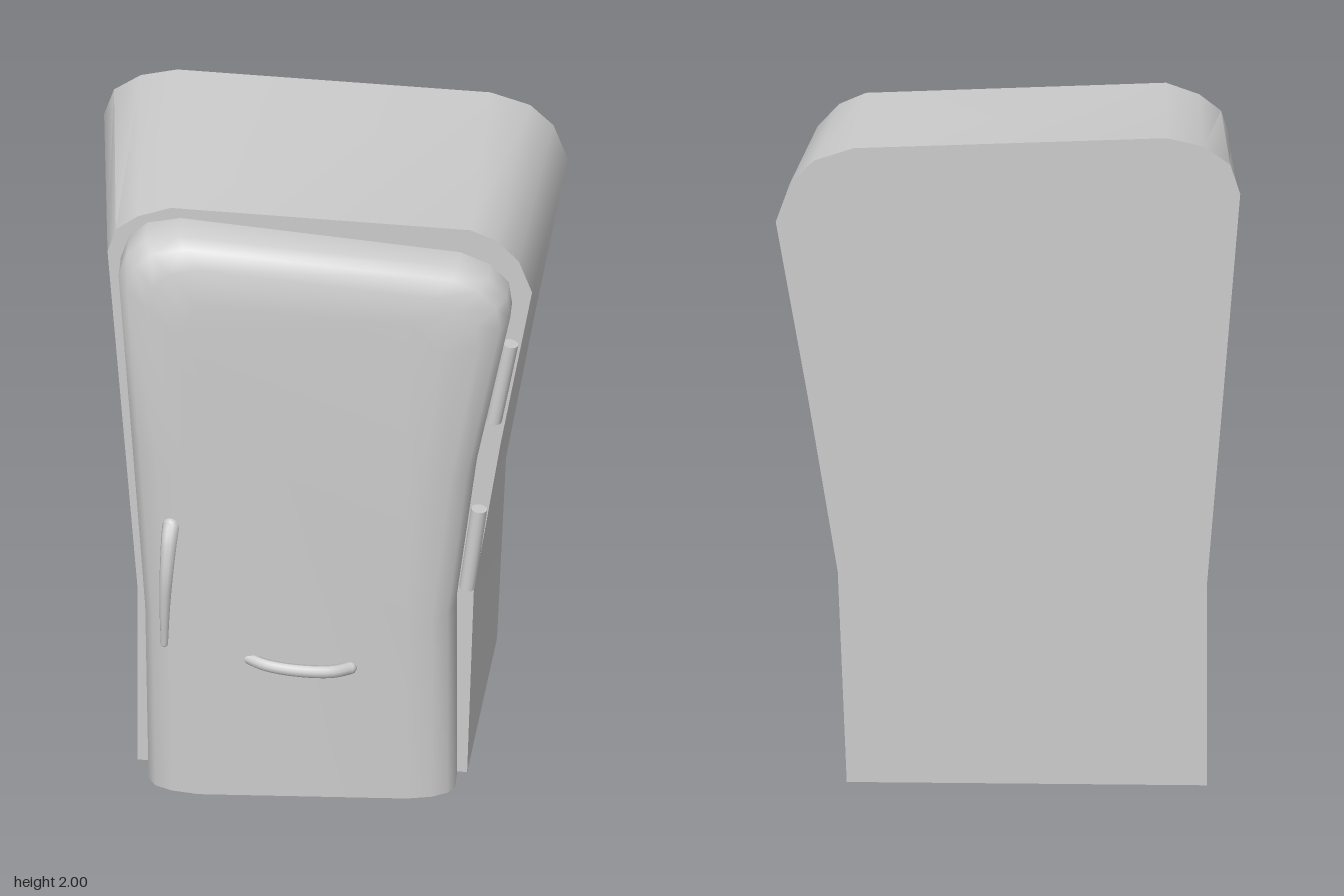
import * as THREE from 'three';
import { toCreasedNormals } from 'three/addons/utils/BufferGeometryUtils.js';

const material = new THREE.MeshStandardMaterial({ color: 0xcccccc });

// Outlines run from the bottom left, over the top, to the bottom right.
const BACK = [[-0.6, 0], [-0.6, 0.62], [-0.65, 1.22], [-0.7, 1.83], [-0.67, 1.92], [-0.59, 1.975], [-0.48, 2],
  [0.46, 1.96], [0.58, 1.92], [0.65, 1.85], [0.693, 1.73], [0.595, 1.18], [0.507, 0.65], [0.48, 0]];
const FRONT = [[-0.55, 0], [-0.55, 0.62], [-0.595, 1.22], [-0.64, 1.82], [-0.615, 1.9], [-0.55, 1.95], [-0.45, 1.985],
  [0.45, 1.945], [0.53, 1.91], [0.595, 1.84], [0.635, 1.73], [0.54, 1.18], [0.46, 0.65], [0.44, 0]];
const DOOR = [[-0.51, 0], [-0.52, 0.62], [-0.56, 1.22], [-0.6, 1.8], [-0.575, 1.88], [-0.52, 1.93], [-0.42, 1.95],
  [0.42, 1.865], [0.51, 1.825], [0.565, 1.765], [0.575, 1.69], [0.475, 1.18], [0.41, 0.65], [0.41, 0]];

// Closed solid through rings of [x, y, z] points, ordered from back to front
function loft(rings, crease) {
  const n = rings[0].length, index = [], last = (rings.length - 1) * n;
  for (let r = 0; r < rings.length - 1; r++) {
    for (let i = 0; i < n; i++) {
      const a = r * n + i, b = r * n + (i + 1) % n;
      index.push(a, a + n, b, b, a + n, b + n);
    }
  }
  for (const [start, ring, sign] of [[0, rings[0], -1], [last, rings[rings.length - 1], 1]]) {
    const pts = ring.map(([x, y]) => new THREE.Vector2(x, y));
    for (const [a, b, c] of THREE.ShapeUtils.triangulateShape(pts, [])) {
      const area = pts[b].clone().sub(pts[a]).cross(pts[c].clone().sub(pts[a]));
      if (area * sign > 0) index.push(start + a, start + b, start + c);
      else index.push(start + a, start + c, start + b);
    }
  }
  const geometry = new THREE.BufferGeometry();
  geometry.setAttribute('position', new THREE.Float32BufferAttribute(rings.flat(2), 3));
  geometry.setIndex(index);
  return toCreasedNormals(geometry, crease);
}

// Rounded bar along a curve, its radius easing from r0 to r1
function bar(name, points, r0, r1) {
  const group = new THREE.Group();
  group.name = name;
  const curve = new THREE.CatmullRomCurve3(points.map(p => new THREE.Vector3(...p)));
  const steps = 20, sides = 10;
  const tube = new THREE.TubeGeometry(curve, steps, 1, sides);
  const pos = tube.attributes.position, v = new THREE.Vector3();
  for (let i = 0; i < pos.count; i++) {
    const t = Math.floor(i / (sides + 1)) / steps;
    const c = curve.getPointAt(t);
    v.fromBufferAttribute(pos, i).sub(c).multiplyScalar(r0 + (r1 - r0) * t).add(c);
    pos.setXYZ(i, v.x, v.y, v.z);
  }
  tube.computeVertexNormals();
  group.add(new THREE.Mesh(tube, material));
  for (const [t, r] of [[0, r0], [1, r1]]) {
    const end = new THREE.Mesh(new THREE.SphereGeometry(r, 12, 8), material);
    end.position.copy(curve.getPointAt(t));
    group.add(end);
  }
  return group;
}

function hinge(name, top, bottom) {
  const a = new THREE.Vector3(...top), b = new THREE.Vector3(...bottom);
  const dir = a.clone().sub(b);
  const mesh = new THREE.Mesh(new THREE.CylinderGeometry(0.024, 0.024, dir.length(), 12), material);
  mesh.name = name;
  mesh.position.copy(a).add(b).multiplyScalar(0.5);
  mesh.quaternion.setFromUnitVectors(new THREE.Vector3(0, 1, 0), dir.normalize());
  return mesh;
}

export function createModel() {
  const model = new THREE.Group();
  model.name = 'refrigerator';

  // Cabinet flares towards the back
  const cabinet = new THREE.Mesh(loft([
    BACK.map(([x, y]) => [x, y, -0.485]),
    FRONT.map(([x, y]) => [x, y, 0.245]),
  ], 0.65), material);
  cabinet.name = 'cabinet';

  // Door with rounded front edges, flat at the floor: [z, inset]
  const sections = [[0.24, 0], [0.335, 0], [0.37, 0.025], [0.395, 0.08], [0.41, 0.17]];
  const door = new THREE.Mesh(loft(sections.map(([z, d]) => DOOR.map(([x, y]) => {
    const mid = -0.03;
    return [mid + (x - mid) * (1 - d / 0.53), y * (1 - d / 1.9), z - (z > 0.3 ? 0.02 * x : 0)];
  })), 1), material);
  door.name = 'door';

  model.add(
    cabinet,
    door,
    hinge('upperHinge', [0.572, 1.56, 0.27], [0.522, 1.282, 0.27]),
    hinge('lowerHinge', [0.478, 0.963, 0.27], [0.442, 0.68, 0.27]),
    bar('doorHandle', [[-0.438, 0.955, 0.405], [-0.441, 0.93, 0.432], [-0.448, 0.82, 0.465],
      [-0.453, 0.7, 0.466], [-0.455, 0.56, 0.455]], 0.026, 0.011),
    bar('drawerHandle', [[-0.205, 0.485, 0.405], [-0.15, 0.482, 0.435], [-0.05, 0.476, 0.449],
      [0.05, 0.47, 0.437], [0.1, 0.465, 0.405]], 0.018, 0.02),
  );
  return model;
}
